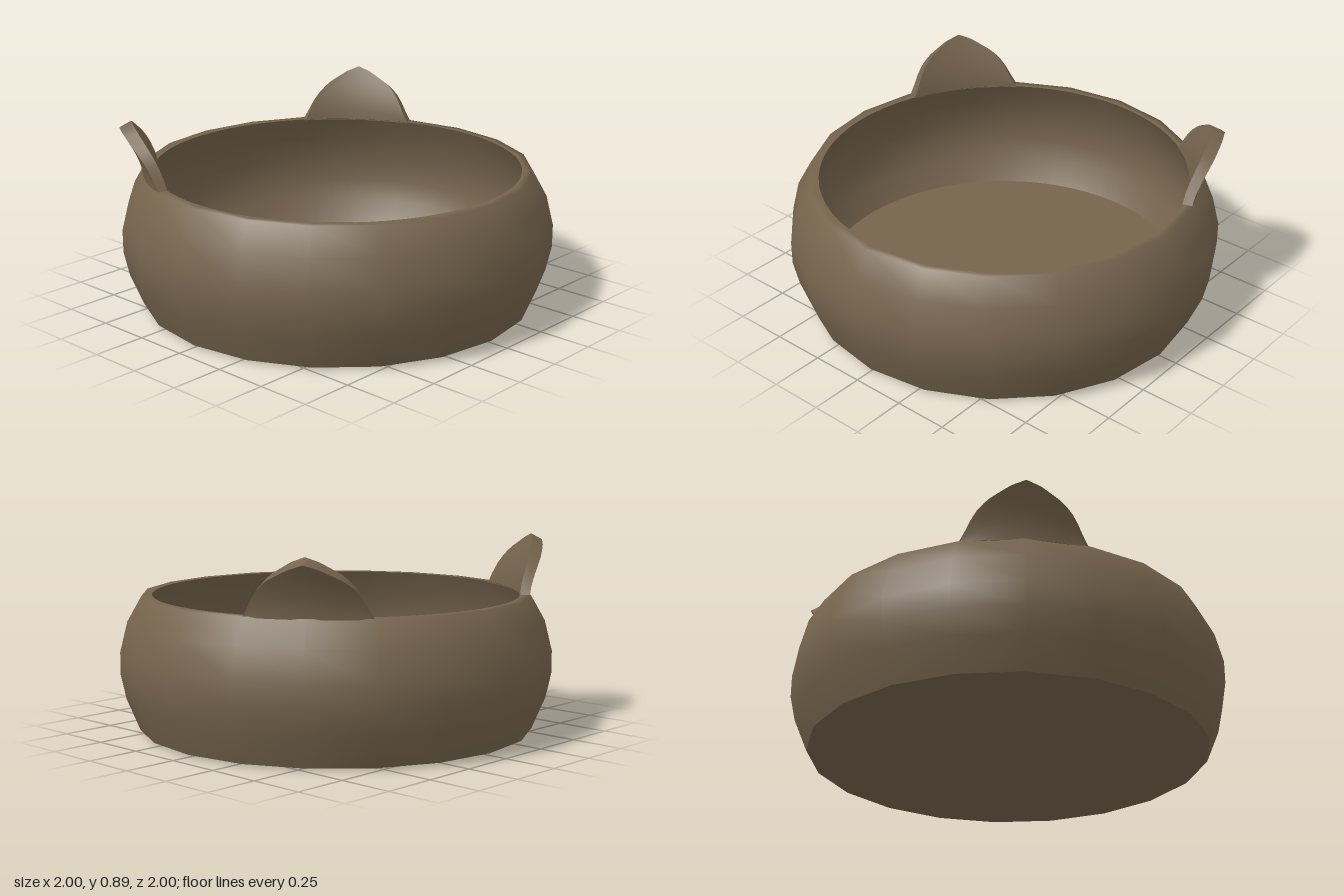
import * as THREE from 'three';

const RIM = 0.63;      // rim height
const FACETS = 20;     // coarse outer shell
const ROUND = 64;      // fine inner basin

export function createModel() {
  const group = new THREE.Group();
  const brown = new THREE.MeshStandardMaterial({ color: 0x75644d });
  brown.name = 'brown clay';

  const add = (name, geometry) => {
    const mesh = new THREE.Mesh(geometry, brown);
    mesh.name = name;
    group.add(mesh);
    return mesh;
  };
  const lathe = (name, points, sides) =>
    add(name, new THREE.LatheGeometry(points.map(([r, y]) => new THREE.Vector2(r, y)), sides));

  // Bowl: bulging shell, slightly conical base, rounded basin and flat floor
  lathe('outerWall', [[0.915, 0.01], [0.975, 0.155], [1, 0.27], [1, 0.375],
    [0.965, 0.515], [0.9, RIM], [0.87, RIM]], FACETS);
  lathe('base', [[0, 0], [0.915, 0.01]], FACETS);
  lathe('innerWall', [[0.85, RIM], [0.925, 0.5], [0.955, 0.37], [0.955, 0.27],
    [0.93, 0.17], [0.87, 0.06]], ROUND);
  lathe('floor', [[0.87, 0.06], [0, 0.06]], ROUND);

  // Rim ring joining the faceted shell to the round basin
  const circle = (r, n) => Array.from({ length: n }, (_, i) => {
    const a = (i / n) * Math.PI * 2;
    return new THREE.Vector2(r * Math.cos(a), r * Math.sin(a));
  });
  const ring = new THREE.Shape(circle(0.87, FACETS));
  ring.holes.push(new THREE.Path(circle(0.85, ROUND)));
  add('rim', new THREE.ShapeGeometry(ring).rotateX(-Math.PI / 2).translate(0, RIM, 0));

  // Ears: curved plates on the rim, pointed in the middle and leaning outward
  const outline = [[0, 0.26], [0.2, 0.238], [0.55, 0.18], [0.75, 0.125], [1, 0]];
  const earHeight = (s) => {
    const i = Math.max(1, outline.findIndex(([x]) => x >= s - 1e-6));
    const [x0, h0] = outline[i - 1], [x1, h1] = outline[i];
    return h0 + ((h1 - h0) * (s - x0)) / (x1 - x0);
  };
  const ear = (name, heading) => {
    const geo = new THREE.BoxGeometry(2, 1, 1, 20, 5, 1);
    const p = geo.attributes.position;
    for (let i = 0; i < p.count; i++) {
      const s = p.getX(i), t = p.getY(i) + 0.5, outer = p.getZ(i) > 0;
      const h = earHeight(Math.min(1, Math.abs(s))) * t;
      const lean = 0.09 * Math.pow(h / 0.26, 1.6);
      const r = (outer ? 0.895 + lean * 1.1 : 0.85 + lean);
      const a = heading + s * Math.PI / 10;
      const y = RIM - 0.005 + (outer ? h * 0.9 : h * 1.01);
      p.setXYZ(i, r * Math.sin(a), y, r * Math.cos(a));
    }
    geo.computeVertexNormals();
    add(name, geo);
  };
  ear('frontEar', -Math.PI / 5);
  ear('backEar', -Math.PI * 4 / 5);

  return group;
}
